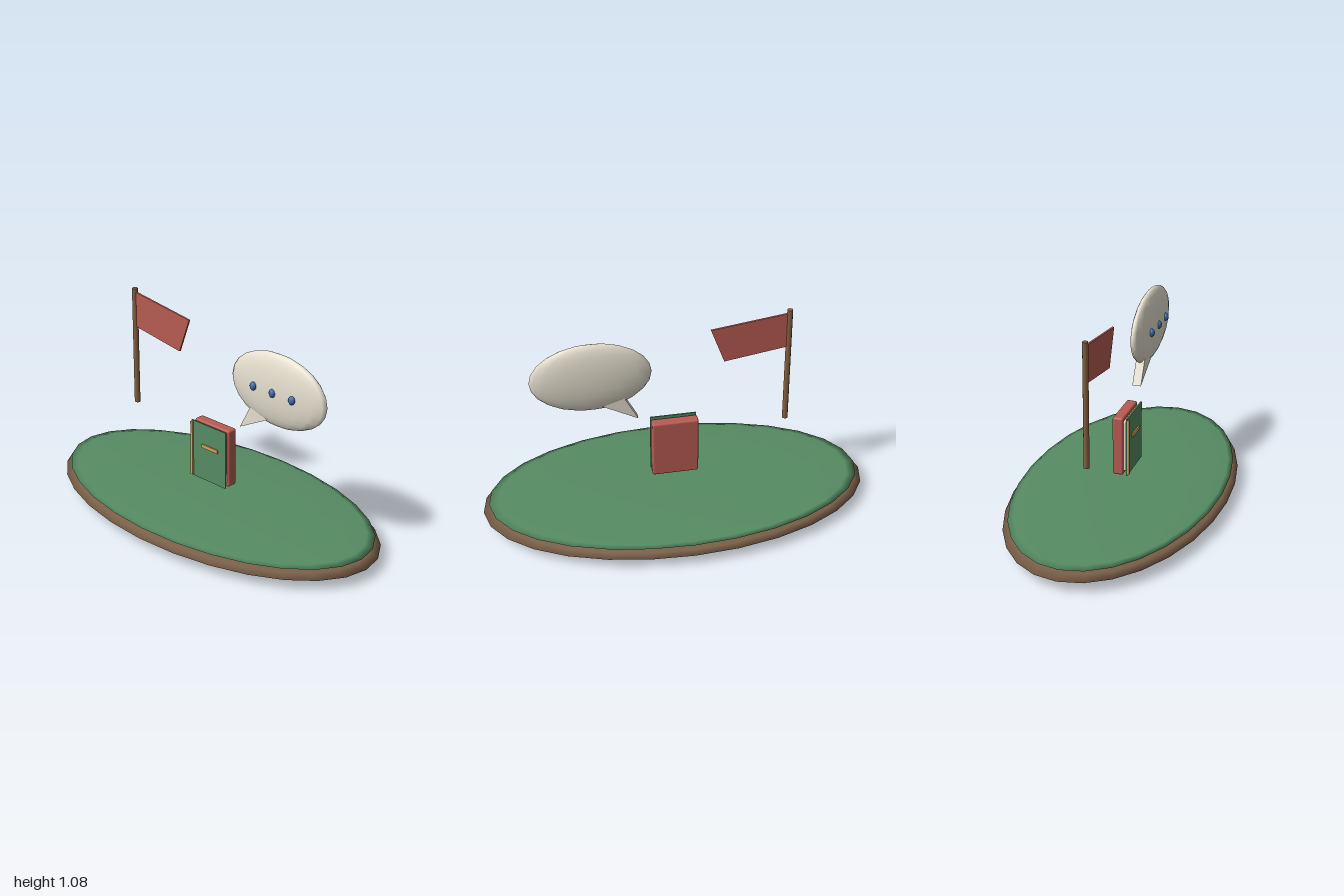
import * as THREE from 'three';
import { RoundedBoxGeometry } from 'three/addons/geometries/RoundedBoxGeometry.js';

const COLORS = {
  green: 0x568c63, brown: 0x7a5f48, red: 0xb85c52,
  cream: 0xe6e0cf, blue: 0x3f6cb0, gold: 0xd4a356, wood: 0x86603f,
};

export function createModel() {
  const model = new THREE.Group();
  const mats = {};
  for (const [key, color] of Object.entries(COLORS)) mats[key] = new THREE.MeshStandardMaterial({ color });

  const add = (parent, name, geometry, color, x = 0, y = 0, z = 0) => {
    const mesh = new THREE.Mesh(geometry, mats[color]);
    mesh.name = name;
    mesh.position.set(x, y, z);
    parent.add(mesh);
    return mesh;
  };
  const group = (name) => {
    const g = new THREE.Group();
    g.name = name;
    model.add(g);
    return g;
  };
  const ellipsoid = (rx, ry, rz, w, h) => new THREE.SphereGeometry(1, w, h).scale(rx, ry, rz);
  // Flat outline given as [x, y] corners, extruded and centred on z = 0
  const slab = (points, depth) => {
    const shape = new THREE.Shape(points.map(([x, y]) => new THREE.Vector2(x, y)));
    return new THREE.ExtrudeGeometry(shape, { depth, bevelEnabled: false }).translate(0, 0, -depth / 2);
  };

  // Island: flattened earth with a grass lens on top
  const island = group('island');
  add(island, 'earth', ellipsoid(1, 0.058, 0.545, 28, 10), 'brown', 0, 0.06);
  add(island, 'grass', ellipsoid(0.97, 0.017, 0.52, 28, 10), 'green', 0, 0.105);

  // Book: rounded back, pages, front cover and gold trim
  const book = group('book');
  add(book, 'bookBody', new RoundedBoxGeometry(0.24, 0.315, 0.056, 2, 0.01), 'red', 0, 0.348, 0);
  add(book, 'pages', new RoundedBoxGeometry(0.215, 0.275, 0.02, 2, 0.006), 'cream', 0, 0.348, 0.031);
  add(book, 'frontCover', new THREE.BoxGeometry(0.238, 0.313, 0.007), 'green', 0, 0.348, 0.048);
  add(book, 'spineTrim', new THREE.BoxGeometry(0.014, 0.3, 0.01), 'gold', -0.113, 0.348, 0.056);
  add(book, 'titleBar', new THREE.BoxGeometry(0.11, 0.019, 0.008), 'gold', 0.013, 0.383, 0.054);

  // Flag on its pole
  const flag = group('flag');
  add(flag, 'pole', new THREE.CylinderGeometry(0.015, 0.015, 0.64, 8), 'wood', -0.578, 0.765);
  add(flag, 'cloth', slab([[-0.57, 0.876], [-0.25, 0.828], [-0.18, 1.015], [-0.57, 1.066]], 0.01), 'red');

  // Speech bubble with a tail and three dots
  const bubble = group('speechBubble');
  add(bubble, 'bubble', ellipsoid(0.305, 0.19, 0.048, 18, 12), 'cream', 0.422, 0.816);
  add(bubble, 'tail', slab([[0.19, 0.556], [0.37, 0.65], [0.26, 0.687]], 0.046), 'cream');
  for (const x of [0.298, 0.422, 0.546]) {
    add(bubble, 'dot', ellipsoid(0.018, 0.022, 0.017, 12, 10), 'blue', x, 0.816, 0.046);
  }
  return model;
}
